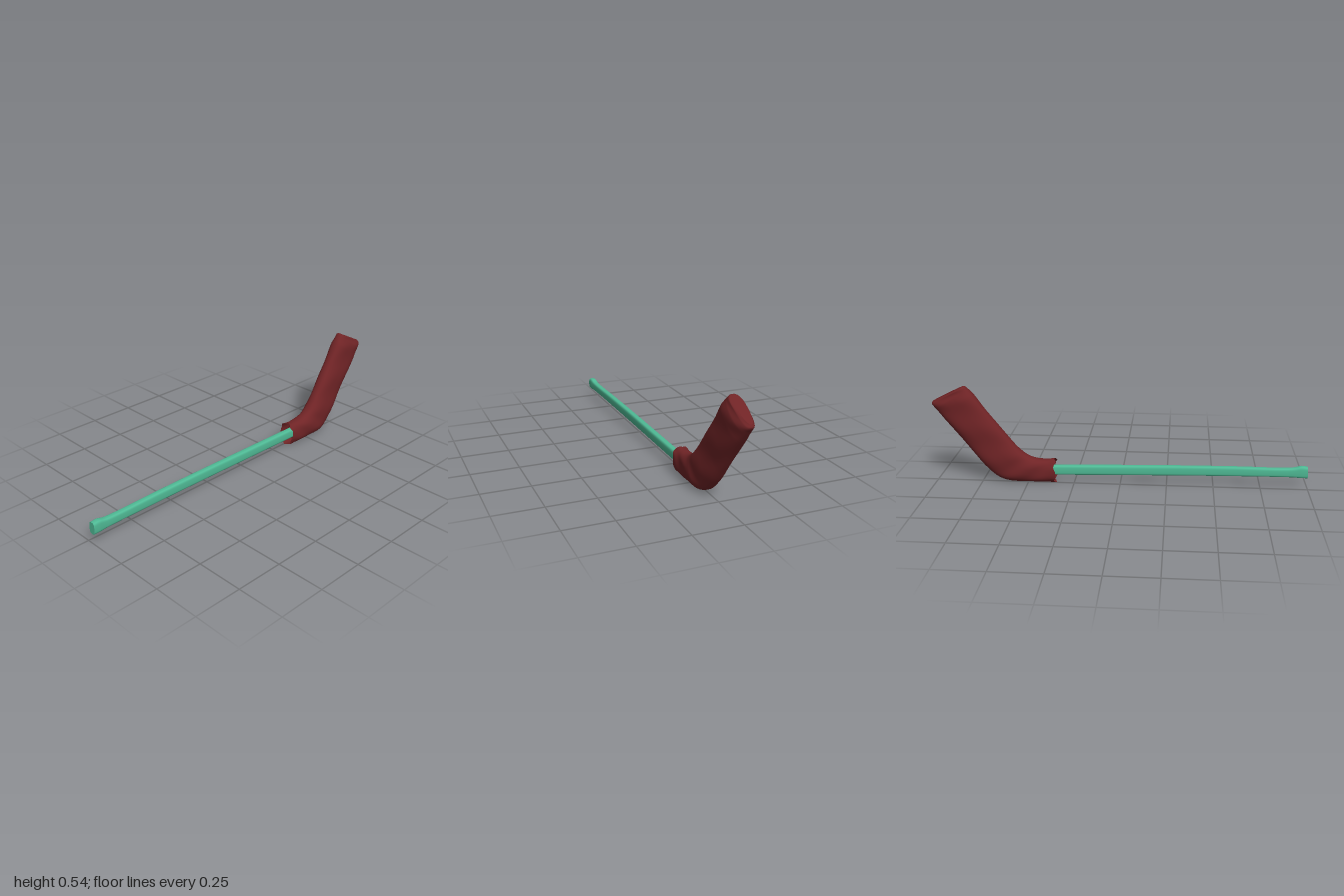
import * as THREE from 'three';

// Lofts rounded rings through sections [lowX, lowY, highX, highY, zCentre, halfThickness].
function loft(sections, { steps, sides, power, capStart, capEnd, warp }) {
  const curve = (a, b, c) => new THREE.CatmullRomCurve3(
    sections.map(s => new THREE.Vector3(s[a], s[b], c === undefined ? 0 : s[c])), false, 'centripetal');
  const low = curve(0, 1), high = curve(2, 3);
  const n = sections.length - 1;
  const round = v => Math.sign(v) * Math.pow(Math.abs(v), power);
  const pos = [], idx = [];

  for (let i = 0; i <= steps; i++) {
    const t = i / steps;
    const k = Math.min(Math.floor(t * n), n - 1), f = t * n - k;
    const zc = THREE.MathUtils.lerp(sections[k][4], sections[k + 1][4], f);
    const th = THREE.MathUtils.lerp(sections[k][5], sections[k + 1][5], f);
    const lo = low.getPoint(t), hi = high.getPoint(t);
    for (let j = 0; j < sides; j++) {
      const a = j / sides * Math.PI * 2;
      const p = lo.clone().lerp(hi, 0.5 + 0.5 * round(Math.cos(a)));
      p.z = zc + th * round(Math.sin(a));
      if (warp) warp(p, t, a);
      pos.push(p.x, p.y, p.z);
    }
  }
  for (let i = 0; i < steps; i++) {
    for (let j = 0; j < sides; j++) {
      const a = i * sides + j, b = i * sides + (j + 1) % sides;
      idx.push(a, b, a + sides, b, b + sides, a + sides);
    }
  }

  // Flat ends use their own vertices so the rim stays sharp.
  const cap = (ring, flip) => {
    const first = pos.length / 3, c = [0, 0, 0];
    for (let j = 0; j < sides; j++) {
      for (let m = 0; m < 3; m++) {
        const v = pos[(ring * sides + j) * 3 + m];
        pos.push(v);
        c[m] += v / sides;
      }
    }
    pos.push(...c);
    for (let j = 0; j < sides; j++) {
      const a = first + j, b = first + (j + 1) % sides;
      idx.push(first + sides, flip ? b : a, flip ? a : b);
    }
  };
  if (capStart) cap(0, true);
  if (capEnd) cap(steps, false);

  const geo = new THREE.BufferGeometry();
  geo.setAttribute('position', new THREE.Float32BufferAttribute(pos, 3));
  geo.setIndex(idx);
  geo.computeVertexNormals();
  return geo;
}

export function createModel() {
  const model = new THREE.Group();
  model.name = 'hockeyStick';
  const add = (name, geo, color, side = THREE.FrontSide) => {
    const mesh = new THREE.Mesh(geo, new THREE.MeshStandardMaterial({ color, side }));
    mesh.name = name;
    model.add(mesh);
  };

  // Long, slightly tapered shaft with a flared butt
  add('shaft', loft([
    [-1.0, 0.06, -0.998, 0.122, 0.037, 0.019],
    [-0.965, 0.06, -0.965, 0.125, 0.037, 0.019],
    [-0.92, 0.063, -0.92, 0.115, 0.036, 0.017],
    [-0.6, 0.062, -0.6, 0.114, 0.032, 0.017],
    [-0.3, 0.058, -0.3, 0.112, 0.028, 0.017],
    [0.0, 0.053, 0.0, 0.107, 0.024, 0.018],
    [0.42, 0.045, 0.42, 0.1, 0.018, 0.018],
  ], { steps: 48, sides: 24, power: 0.55, capStart: true, capEnd: true }), 0x4fba95);

  // Cloth cover over the bent blade, with a ragged open mouth and soft creases
  const cover = [
    [0.352, 0.008, 0.352, 0.137, 0.014, 0.044],
    [0.41, 0.008, 0.4, 0.134, 0.014, 0.044],
    [0.5, 0.008, 0.455, 0.138, 0.014, 0.046],
    [0.6, 0.011, 0.505, 0.158, 0.013, 0.049],
    [0.665, 0.035, 0.548, 0.195, 0.009, 0.048],
    [0.725, 0.09, 0.6, 0.26, 0.004, 0.046],
    [0.79, 0.175, 0.66, 0.34, -0.002, 0.045],
    [0.86, 0.27, 0.72, 0.42, -0.008, 0.047],
    [0.935, 0.365, 0.775, 0.5, -0.012, 0.048],
    [0.977, 0.42, 0.802, 0.53, -0.015, 0.043],
    [0.996, 0.446, 0.818, 0.544, -0.018, 0.034],
    [0.992, 0.46, 0.828, 0.543, -0.02, 0.02],
  ];
  const wrinkle = (p, t, a) => {
    p.z += 0.0025 * Math.sin(t * 34 + Math.cos(a) * 3) * Math.sin(a);
    const mouth = Math.max(0, 1 - t * 14);
    p.x += mouth * 0.006 * Math.sin(a * 5 + 1);
    p.y += mouth * 0.003 * Math.sin(a * 7);
  };
  add('bladeCover', loft(cover,
    { steps: 88, sides: 40, power: 0.8, capEnd: true, warp: wrinkle }), 0x702426, THREE.DoubleSide);

  // Inner end wall seen through the mouth of the cover
  const wall = new THREE.CircleGeometry(1, 32);
  wall.scale(0.042, 0.061, 1);
  wall.rotateY(-Math.PI / 2);
  wall.translate(0.415, 0.071, 0.014);
  add('coverLining', wall, 0x702426, THREE.DoubleSide);

  return model;
}
